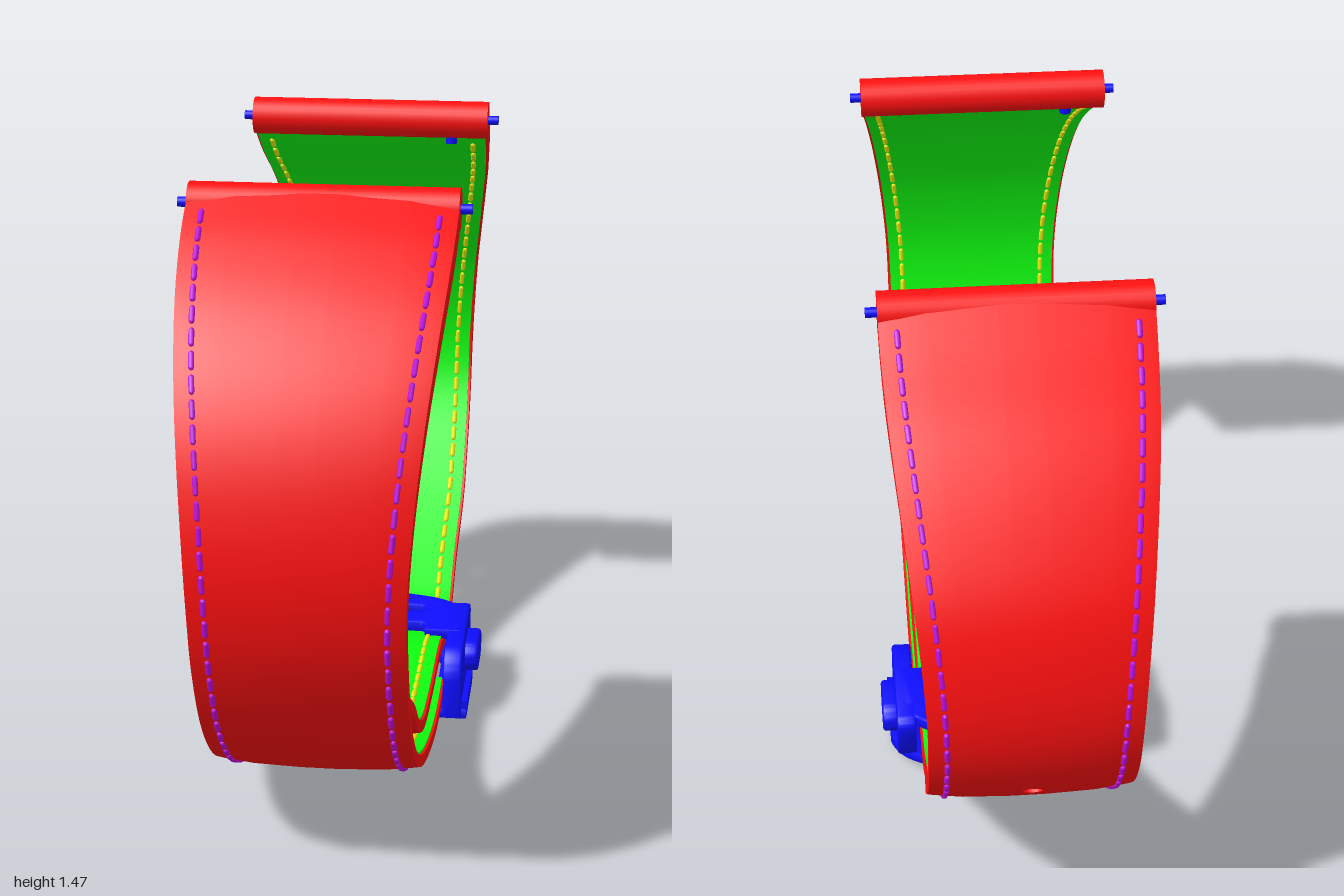
import * as THREE from 'three';
import { mergeGeometries, toCreasedNormals } from 'three/addons/utils/BufferGeometryUtils.js';

const mat = (color) => new THREE.MeshStandardMaterial({ color, side: THREE.DoubleSide });
const RED = mat(0xff1010), GREEN = mat(0x10ff10), BLUE = mat(0x0d0dff);
const PURPLE = mat(0xc010e0), YELLOW = mat(0xf0f010);
const smooth = THREE.MathUtils.smoothstep;

function add(parent, name, geo, material, x = 0, y = 0, z = 0) {
  const m = new THREE.Mesh(geo, material);
  m.name = name;
  m.position.set(x, y, z);
  parent.add(m);
  return m;
}

const curveFrom = (pts) => {
  const c = new THREE.CatmullRomCurve3(pts.map(([z, y]) => new THREE.Vector3(0, y, z)), false, 'centripetal');
  c.arcLengthDivisions = 600;
  return c;
};

// A band swept along a curve of its outer face; side = +1 front, -1 back
function makeBand(pts, side, width, thick) {
  const curve = curveFrom(pts), L = curve.getLength();
  const at = (x, s, v) => {
    const t = THREE.MathUtils.clamp(s / L, 0, 1);
    const p = curve.getPointAt(t), d = curve.getTangentAt(t);
    const k = Math.min(1, Math.abs(x) / width(s, L));
    const depth = v * thick(s) + 0.014 * k ** 3 * (1 - v);
    p.y += -d.z * side * depth;
    p.z += d.y * side * depth;
    p.x = x;
    return p;
  };
  return { curve, L, at, side, width, rows: Math.round(L / 0.025) };
}

// One layer of a band between depths v0 and v1, with holes centred on given rows
function layer(band, v0, v1, scale, holeRows = []) {
  const { at, L, rows, side, width } = band, pos = [];
  const tri = (a, b, c) => (side > 0 ? [a, c, b] : [a, b, c]).forEach((p) => pos.push(p.x, p.y, p.z));
  const quad = (a, b, c, d) => { tri(a, b, c); tri(a, c, d); };
  const ring = (j) => {
    const s = (j / rows) * L, w = width(s, L) * scale, h = Math.min(0.04, w * 0.3);
    const xs = [-w, -w * 0.94, -w * 0.65, -h, h, w * 0.65, w * 0.94, w];
    return [...xs.map((x) => at(x, s, v0)), ...xs.reverse().map((x) => at(x, s, v1))];
  };
  const rings = Array.from({ length: rows + 1 }, (_, j) => ring(j));
  for (let j = 0; j < rows; j++) {
    const holed = holeRows.some((r) => Math.abs(j - r) <= 1);
    for (let i = 0; i < 16; i++) {
      if (holed && (i === 3 || i === 11)) continue;
      const n = (i + 1) % 16;
      quad(rings[j][i], rings[j][n], rings[j + 1][n], rings[j + 1][i]);
    }
  }
  // End caps
  for (const r of [rings[0], rings[rows]])
    for (let i = 0; i < 7; i++) quad(r[i], r[i + 1], r[14 - i], r[15 - i]);
  // Pierced patches and the walls of the holes
  for (const r of holeRows) {
    const ds = L / rows, mid = (r + 0.5) * ds, shape = new THREE.Shape();
    [-1.5, -0.5, 0.5, 1.5].forEach((k, i) => (i ? shape.lineTo(0.04, mid + k * ds) : shape.moveTo(0.04, mid + k * ds)));
    [1.5, 0.5, -0.5, -1.5].forEach((k) => shape.lineTo(-0.04, mid + k * ds));
    const rim = Array.from({ length: 16 }, (_, i) =>
      new THREE.Vector2(0.023 * Math.cos(i * Math.PI / 8), mid + 0.023 * Math.sin(i * Math.PI / 8)));
    shape.holes.push(new THREE.Path(rim));
    const g = new THREE.ShapeGeometry(shape).toNonIndexed().attributes.position;
    for (let i = 0; i < g.count; i += 3) {
      const p = (k, v) => at(g.getX(i + k), g.getY(i + k), v);
      tri(p(0, v0), p(1, v0), p(2, v0));
      tri(p(0, v1), p(2, v1), p(1, v1));
    }
    rim.forEach((a, i) => {
      const b = rim[(i + 1) % 16];
      quad(at(a.x, a.y, v0), at(b.x, b.y, v0), at(b.x, b.y, v1), at(a.x, a.y, v1));
    });
  }
  const geo = new THREE.BufferGeometry();
  geo.setAttribute('position', new THREE.Float32BufferAttribute(pos, 3));
  return toCreasedNormals(geo, 0.6);
}

// Two rows of dashes along one face of a band
function stitches(band, v, inset) {
  const list = [], up = new THREE.Vector3(0, 1, 0);
  for (let s = 0.06; s < band.L - 0.05; s += 0.052)
    for (const m of [-1, 1]) {
      const x0 = band.width(s, band.L) - inset, x1 = band.width(s + 0.03, band.L) - inset;
      if (x1 < 0.01) continue;
      const a = band.at(m * x0, s, v), b = band.at(m * x1, s + 0.03, v), dir = b.clone().sub(a);
      const g = new THREE.CapsuleGeometry(0.0065, dir.length(), 2, 6);
      g.applyQuaternion(new THREE.Quaternion().setFromUnitVectors(up, dir.normalize()));
      a.add(b).multiplyScalar(0.5);
      list.push(g.translate(a.x, a.y, a.z));
    }
  return mergeGeometries(list);
}

function strap(name, band, holeRows, lugZ) {
  const g = new THREE.Group();
  g.name = name;
  add(g, 'outerLeather', layer(band, 0, 0.84, 1, holeRows), RED);
  add(g, 'lining', layer(band, 0.82, 1, 0.975, holeRows), GREEN);
  add(g, 'outerStitching', stitches(band, 0, 0.038), PURPLE);
  add(g, 'innerStitching', stitches(band, 1, 0.038), YELLOW);
  // Rounded sleeve, spring bar and its release knob
  const rod = (r, len) => new THREE.CylinderGeometry(r, r, len, 28).rotateZ(Math.PI / 2);
  add(g, 'barSleeve', rod(0.045, 0.58), RED, 0, 1.432, lugZ);
  add(g, 'springBar', rod(0.011, 0.63), BLUE, 0, 1.432, lugZ);
  const kx = -0.2 * Math.sign(lugZ);
  add(g, 'releaseKnob', new THREE.CylinderGeometry(0.014, 0.014, 0.04, 14), BLUE, kx, 1.393, lugZ);
  return g;
}

// Flat plate drawn in x and -z, extruded upward
function plate(draw, hole, depth) {
  const s = new THREE.Shape(), h = new THREE.Path();
  draw(s);
  hole(h);
  s.holes.push(h);
  return new THREE.ExtrudeGeometry(s, { depth, bevelSize: 0.006, bevelThickness: 0.006, bevelSegments: 2, curveSegments: 20 })
    .rotateX(-Math.PI / 2);
}

function slot(p, x, y0, y1, bow, r) {
  p.moveTo(-x + r, y0).lineTo(x - r, y0).quadraticCurveTo(x, y0, x, y0 + r).lineTo(x, y1 - r)
    .quadraticCurveTo(x, y1, x - r, y1).quadraticCurveTo(0, y1 + bow, -x + r, y1)
    .quadraticCurveTo(-x, y1, -x, y1 - r).lineTo(-x, y0 + r).quadraticCurveTo(-x, y0, -x + r, y0);
}

function buckle() {
  const g = new THREE.Group();
  g.name = 'buckle';

  // Upper bridge with its slot
  const top = plate((s) => {
    s.moveTo(-0.25, 0.16).lineTo(-0.175, 0.16).lineTo(-0.175, 0.19).quadraticCurveTo(-0.17, 0.205, -0.15, 0.205)
      .lineTo(0.15, 0.205).quadraticCurveTo(0.17, 0.205, 0.175, 0.19).lineTo(0.175, 0.16).lineTo(0.25, 0.16)
      .lineTo(0.25, 0.3).quadraticCurveTo(0.22, 0.345, 0.17, 0.362).quadraticCurveTo(0, 0.415, -0.17, 0.362)
      .quadraticCurveTo(-0.22, 0.345, -0.25, 0.3);
  }, (h) => slot(h, 0.165, 0.265, 0.315, 0.02, 0.02), 0.018);
  add(g, 'upperBridge', toCreasedNormals(top, 0.6), BLUE, 0, 0.168, 0);

  // Lower loop, curving up towards the back
  const low = plate((s) => {
    s.moveTo(-0.28, 0.03).lineTo(0.28, 0.03).lineTo(0.28, 0.25).quadraticCurveTo(0.26, 0.33, 0.17, 0.362)
      .quadraticCurveTo(0, 0.42, -0.17, 0.362).quadraticCurveTo(-0.26, 0.33, -0.28, 0.25);
  }, (h) => slot(h, 0.21, 0.1, 0.31, 0.03, 0.04), 0.016);
  const p = low.attributes.position;
  for (let i = 0; i < p.count; i++) p.setY(i, p.getY(i) + 0.33 * p.getZ(i) ** 2);
  add(g, 'lowerLoop', toCreasedNormals(low, 0.6), BLUE, 0, 0.012, 0);

  // Cheeks with oval push buttons on both sides
  const cheek = new THREE.Shape();
  cheek.moveTo(-0.025, 0.02).lineTo(-0.02, 0.11).quadraticCurveTo(-0.03, 0.175, -0.08, 0.18)
    .lineTo(-0.32, 0.187).quadraticCurveTo(-0.345, 0.185, -0.345, 0.16).lineTo(-0.33, 0.08)
    .quadraticCurveTo(-0.31, 0.05, -0.26, 0.04);
  const oval = (a, b) => new THREE.Shape().absarc(-a, 0, b, Math.PI / 2, Math.PI * 1.5).absarc(a, 0, b, -Math.PI / 2, Math.PI / 2);
  const sideways = (shape, depth, bevel) => toCreasedNormals(new THREE.ExtrudeGeometry(shape,
    { depth, bevelSize: bevel, bevelThickness: bevel, bevelSegments: 3, curveSegments: 12 })
    .translate(0, 0, -depth / 2).rotateY(-Math.PI / 2), 0.6);
  for (const m of [-1, 1]) {
    add(g, 'cheek', sideways(cheek, 0.034, 0.006), BLUE, m * 0.25, 0, 0);
    add(g, 'cheekFoot', new THREE.BoxGeometry(0.06, 0.035, 0.2), BLUE, m * 0.257, 0.035, -0.13);
    add(g, 'pushButton', sideways(oval(0.033, 0.032), 0.03, 0.008), BLUE, m * 0.283, 0.118, -0.207);
  }
  // Cross pin holding the front strap, and the locking stud
  add(g, 'crossPin', new THREE.CylinderGeometry(0.014, 0.014, 0.48, 16).rotateZ(Math.PI / 2), BLUE, 0, 0.065, -0.09);
  add(g, 'lockingStud', new THREE.CylinderGeometry(0.016, 0.016, 0.05, 16), BLUE, 0, 0.15, -0.245);
  return g;
}

export function createModel() {
  const root = new THREE.Group();
  root.name = 'watchStrap';
  const taper = (s) => 0.225 + 0.065 * (1 - smooth(s, 0, 1.05));
  const thick = (s) => 0.083 - 0.037 * smooth(s, 0.55, 1.5);

  const front = makeBand([[0.515, 1.468], [0.65, 1.385], [0.785, 1.275], [0.893, 1.14], [0.965, 0.98], [1, 0.78],
    [0.984, 0.63], [0.936, 0.5], [0.855, 0.366], [0.73, 0.243], [0.57, 0.152], [0.357, 0.08], [0.14, 0.038],
    [-0.02, 0.034], [-0.1, 0.04]], 1, taper, thick);
  root.add(strap('frontStrap', front, [], 0.49));

  // The back strap runs through the buckle and ends in a pointed tail
  const tailed = (s, L) => {
    const k = Math.min(1, (L - s) / 0.25);
    return Math.max(0.015, (taper(s) - 0.008 * smooth(s, 1.4, 1.7)) * (1 - (1 - k) ** 2) ** 0.65);
  };
  const back = makeBand([[-0.465, 1.468], [-0.56, 1.395], [-0.716, 1.285], [-0.85, 1.14], [-0.95, 0.98], [-1, 0.78],
    [-0.984, 0.63], [-0.92, 0.5], [-0.812, 0.38], [-0.69, 0.275], [-0.555, 0.18], [-0.43, 0.11], [-0.34, 0.095],
    [-0.2, 0.115], [-0.07, 0.143], [0.2, 0.147], [0.41, 0.17], [0.57, 0.24], [0.68, 0.34], [0.775, 0.51]], -1, tailed, thick);
  let r0 = back.rows - 1;
  while (back.curve.getPointAt((r0 + 0.5) / back.rows).z > 0.012) r0--;
  const holeRows = Array.from({ length: 8 }, (_, k) => r0 - 6 * k);
  root.add(strap('backStrap', back, holeRows, -0.44));

  // Curved metal blade between the tail and the front strap
  const blade = makeBand([[0.7, 0.325], [0.63, 0.25], [0.55, 0.2], [0.4, 0.135], [0.2, 0.1], [-0.02, 0.095], [-0.2, 0.08]],
    1, (s) => 0.16 * Math.sqrt(1 - (1 - Math.min(1, (s + 0.02) / 0.15)) ** 2), () => 0.035);
  add(root, 'claspBlade', layer(blade, 0, 1, 1), BLUE);
  const end = new THREE.CylinderGeometry(0.022, 0.022, 0.14, 16).rotateZ(Math.PI / 2);
  add(root, 'bladeEnd', end, BLUE, 0, 0.322, 0.685);

  root.add(buckle());
  return root;
}
